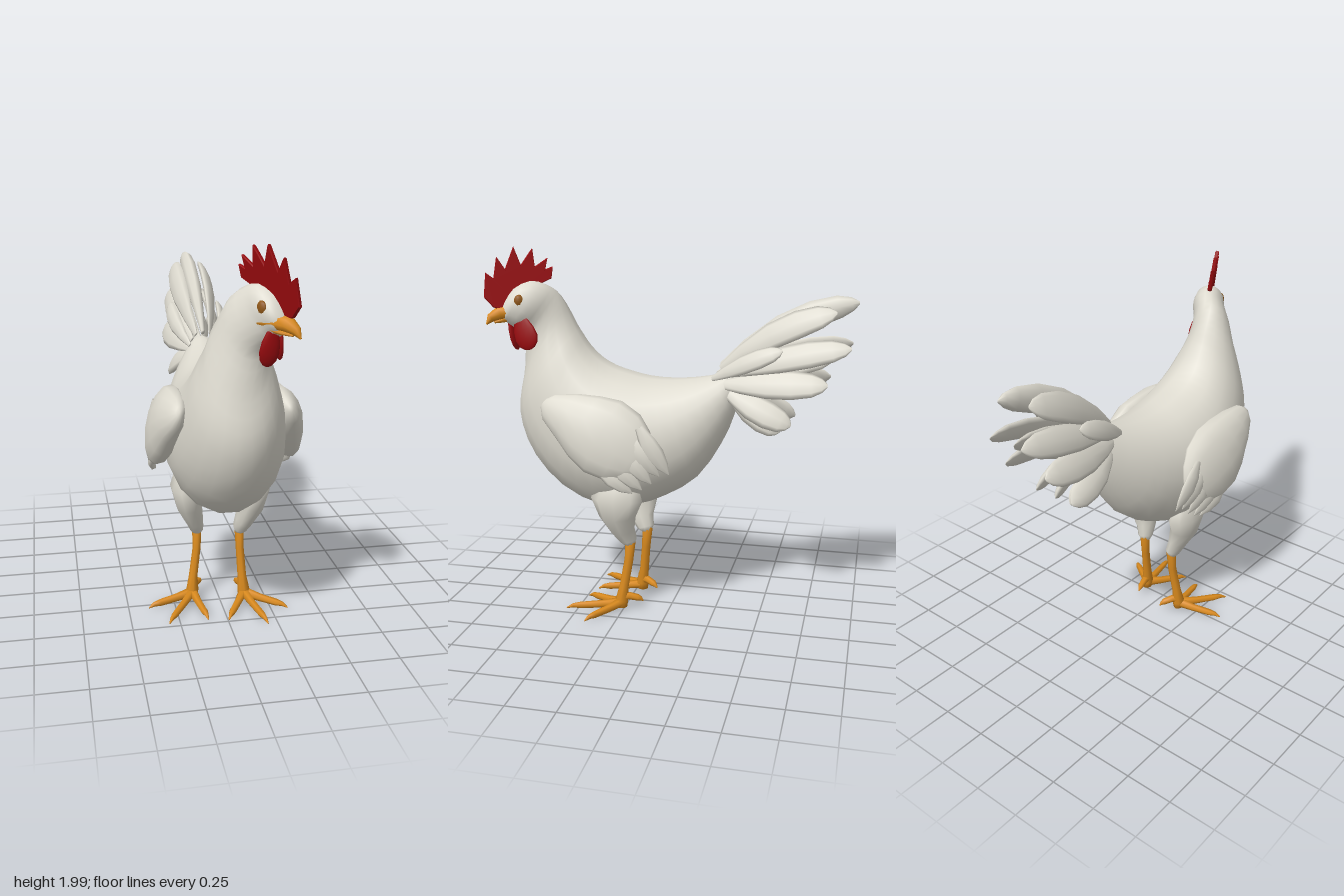
import * as THREE from 'three';

const V = (x, y, z) => new THREE.Vector3(x, y, z);
const mat = (name, color) => Object.assign(new THREE.MeshStandardMaterial({ color }), { name });

// Skin a list of closed rings (counter-clockwise around the direction of travel)
function loft(rings) {
  const n = rings[0].length, idx = [];
  for (let i = 0; i < rings.length - 1; i++) {
    for (let j = 0; j < n; j++) {
      const k = (j + 1) % n, a = i * n + j, b = i * n + k, c = b + n, d = a + n;
      idx.push(a, b, c, a, c, d);
    }
  }
  const g = new THREE.BufferGeometry().setFromPoints(rings.flat());
  g.setIndex(idx);
  g.computeVertexNormals();
  return g;
}

// Ellipse ring spanned by two half-axis vectors
function ring(c, right, up, n) {
  return Array.from({ length: n }, (_, j) => {
    const a = (j / n) * Math.PI * 2;
    return c.clone().addScaledVector(right, Math.cos(a)).addScaledVector(up, Math.sin(a));
  });
}

// Tapered form along points [x, y, z, halfWidth, halfThickness]; U is the thickness direction
function limb(pts, U, n = 8) {
  const P = pts.map(p => V(p[0], p[1], p[2]));
  const rings = P.map((p, i) => {
    const t = P[Math.min(i + 1, P.length - 1)].clone().sub(P[Math.max(i - 1, 0)]).normalize();
    const right = U.clone().cross(t).normalize();
    const up = t.clone().cross(right);
    return ring(p, right.multiplyScalar(pts[i][3]), up.multiplyScalar(pts[i][4]), n);
  });
  const last = rings.length - 1;
  return loft([rings[0].map(() => P[0]), ...rings, rings[last].map(() => P[last])]);
}

// Feather from a to b, bowed in the middle: rounded for the tail, pointed for the wing
const ROUNDED = [[0, 0.25], [0.2, 0.62], [0.45, 0.95], [0.68, 1], [0.86, 0.82], [0.95, 0.5], [1, 0.1]];
const POINTED = [[0, 0.4], [0.3, 0.9], [0.55, 1], [0.8, 0.65], [1, 0.05]];
function feather(profile, a, b, width, thick, U, bow) {
  return limb(profile.map(([t, w]) => {
    const p = a.clone().lerp(b, t).addScaledVector(bow, 4 * t * (1 - t));
    return [p.x, p.y, p.z, width * w, thick * w];
  }), U);
}

// Body sections: top z, top y, bottom z, bottom y, half width, amount of head turn
const BODY = [
  [-0.37, 1.35, -0.38, 1.32, 0.01, 0], [-0.32, 1.36, -0.36, 1.25, 0.065, 0],
  [-0.24, 1.34, -0.34, 1.13, 0.115, 0], [-0.13, 1.32, -0.27, 0.96, 0.178, 0],
  [0, 1.31, -0.15, 0.78, 0.235, 0], [0.12, 1.315, 0.02, 0.665, 0.272, 0],
  [0.22, 1.335, 0.2, 0.595, 0.295, 0], [0.32, 1.365, 0.4, 0.585, 0.302, 0],
  [0.4, 1.41, 0.6, 0.67, 0.285, 0], [0.46, 1.47, 0.76, 0.83, 0.25, 0],
  [0.5, 1.53, 0.84, 1.0, 0.215, 0], [0.53, 1.58, 0.855, 1.14, 0.18, 0],
  [0.56, 1.64, 0.83, 1.28, 0.15, 0], [0.59, 1.7, 0.81, 1.42, 0.12, 0.3],
  [0.63, 1.76, 0.8, 1.52, 0.102, 0.6], [0.68, 1.8, 0.84, 1.58, 0.09, 1],
  [0.75, 1.82, 0.87, 1.605, 0.08, 1], [0.83, 1.78, 0.885, 1.62, 0.062, 1],
  [0.875, 1.71, 0.89, 1.645, 0.03, 1], [0.885, 1.685, 0.89, 1.67, 0.004, 1],
];
const HEAD_YAW = Math.PI / 6;
const headX = z => 0.03 + 0.58 * (z - 0.65);

function bodyGeometry() {
  const curve = f => new THREE.CatmullRomCurve3(BODY.map(f), false, 'catmullrom', 0.5);
  const top = curve(s => V(headX(s[0]) * s[5], s[1], s[0]));
  const bottom = curve(s => V(headX(s[2]) * s[5], s[3], s[2]));
  const size = curve(s => V(s[4], s[5], 0));
  const rings = [], steps = (BODY.length - 1) * 2;
  for (let i = 0; i <= steps; i++) {
    const T = top.getPoint(i / steps), B = bottom.getPoint(i / steps), s = size.getPoint(i / steps);
    const yaw = HEAD_YAW * s.y;
    const right = V(Math.cos(yaw), 0, -Math.sin(yaw)).multiplyScalar(Math.max(s.x, 0.003));
    rings.push(ring(T.clone().add(B).multiplyScalar(0.5), right, T.sub(B).multiplyScalar(0.5), 18));
  }
  return loft(rings);
}

export function createModel() {
  const white = mat('white plumage', 0xdedbd0), red = mat('red comb', 0x980a0e);
  const orange = mat('orange skin', 0xd98a1e), brown = mat('brown eye', 0x8f5717);
  const model = new THREE.Group();
  model.name = 'rooster';
  const add = (name, geo, material, parent = model) => {
    const m = new THREE.Mesh(geo, material);
    m.name = name;
    parent.add(m);
    return m;
  };
  const group = name => {
    const g = new THREE.Group();
    g.name = name;
    model.add(g);
    return g;
  };

  add('body', bodyGeometry(), white);

  // Comb: spiked plate along the turned head, leaning slightly to the right
  const comb = [[0.92, 1.69], [0.96, 1.74], [0.957, 1.86], [0.92, 1.83], [0.91, 1.94], [0.87, 1.875],
    [0.835, 1.99], [0.8, 1.895], [0.75, 1.98], [0.737, 1.885], [0.68, 1.93], [0.69, 1.87],
    [0.655, 1.885], [0.66, 1.83], [0.74, 1.79], [0.84, 1.74], [0.87, 1.67]];
  const shape = new THREE.Shape(comb.map(([z, y]) => new THREE.Vector2((z - 0.65) / Math.cos(HEAD_YAW), y)));
  const combGeo = new THREE.ExtrudeGeometry(shape, {
    depth: 0.01, bevelEnabled: true, bevelSize: 0.004, bevelThickness: 0.006, bevelSegments: 1 });
  combGeo.translate(0, 0, -0.005).rotateY(HEAD_YAW - Math.PI / 2).translate(0.03, -1.75, 0.65);
  combGeo.applyMatrix4(new THREE.Matrix4().makeShear(0, 0, -0.15, 0, 0, 0)).translate(0, 1.75, 0);
  add('comb', combGeo, red);

  // Beak
  const upY = V(0, 1, 0);
  add('upperBeak', limb([[0.105, 1.652, 0.8, 0.074, 0.022], [0.145, 1.66, 0.855, 0.06, 0.038],
    [0.178, 1.652, 0.9, 0.042, 0.036], [0.204, 1.63, 0.935, 0.023, 0.024], [0.22, 1.598, 0.953, 0.004, 0.004]], upY), orange);
  add('lowerBeak', limb([[0.115, 1.63, 0.82, 0.052, 0.018], [0.165, 1.618, 0.885, 0.032, 0.016],
    [0.195, 1.607, 0.917, 0.008, 0.006]], upY), orange);

  // Wattles, splayed to both sides of the beak
  const wattle = [[0, 0.3], [0.15, 0.6], [0.4, 0.9], [0.65, 1], [0.85, 0.8], [0.96, 0.45], [1, 0.1]];
  const hang = (name, a, b, w, h, U) => add(name, limb(wattle.map(([t, r]) => {
    const p = a.clone().lerp(b, t);
    return [p.x, p.y, p.z, w * r, h * r];
  }), U, 12), red);
  hang('leftWattle', V(0.168, 1.64, 0.79), V(0.178, 1.465, 0.73), 0.066, 0.016, V(1, 0, 0));
  hang('rightWattle', V(0.12, 1.64, 0.865), V(0.1, 1.45, 0.83), 0.047, 0.02, V(0, 0, 1));

  // Eyes: flattened domes on the sides of the head
  for (const s of [-1, 1]) {
    const eye = add(s > 0 ? 'leftEye' : 'rightEye', new THREE.SphereGeometry(0.036, 12, 8), brown);
    eye.scale.set(0.5, 1, 0.85);
    eye.rotation.y = HEAD_YAW;
    eye.position.set(0.124 + s * 0.055, 1.718, 0.812 - s * 0.032);
  }

  // Wings: rounded shoulder sloping back into overlapping flight feathers
  for (const s of [-1, 1]) {
    const wing = group(s > 0 ? 'leftWing' : 'rightWing');
    const U = V(s, 0.3, 0).normalize();
    add('wingShoulder', limb([[0.265, 1.2, 0.63, 0.03, 0.02], [0.27, 1.18, 0.6, 0.075, 0.045],
      [0.28, 1.14, 0.5, 0.13, 0.08], [0.29, 1.09, 0.4, 0.18, 0.093], [0.3, 1.045, 0.3, 0.21, 0.092],
      [0.305, 0.995, 0.2, 0.195, 0.075], [0.31, 0.955, 0.13, 0.15, 0.052], [0.312, 0.925, 0.08, 0.09, 0.03],
      [0.312, 0.915, 0.06, 0.03, 0.01]].map(([x, ...r]) => [s * x, ...r]), U, 14), white, wing);
    const feathers = [[0.3, 0.86, -0.05, 1.11, 0.1], [0.305, 0.85, 0.0, 1.06, 0.15],
      [0.315, 0.81, 0.04, 1.02, 0.2], [0.32, 0.775, 0.09, 0.98, 0.27], [0.325, 0.755, 0.14, 0.94, 0.34]];
    feathers.forEach(([x, y, z, y0, z0], i) => add('flightFeather', feather(POINTED,
      V(s * 0.33, y0, z0), V(s * x, y, z), 0.05, 0.018, U, V(s * (0.015 + i * 0.004), 0, 0)), white, wing));
  }

  // Tail: central plume and mirrored pairs [tip, base, half width, half thickness, upward bow]
  const tail = group('tail');
  add('centralPlume', feather(ROUNDED, V(0, 1.39, -0.27), V(0, 1.735, -0.965), 0.046, 0.07,
    V(0, 1, 0.5).normalize(), V(0, 0.055, 0)), white, tail);
  const plumes = [
    [[0.08, 1.69, -0.86], [0.04, 1.38, -0.27], 0.075, 0.024, 0.045],
    [[0.1, 1.515, -0.94], [0.06, 1.35, -0.28], 0.072, 0.024, 0.02],
    [[0.13, 1.33, -0.83], [0.07, 1.3, -0.27], 0.078, 0.024, 0.005],
    [[0.12, 1.11, -0.65], [0.06, 1.28, -0.28], 0.074, 0.026, -0.005],
    [[0.05, 1.06, -0.59], [0.02, 1.26, -0.3], 0.066, 0.026, -0.01],
    [[0.14, 1.5, -0.6], [0.08, 1.33, -0.23], 0.052, 0.02, 0.01],
    [[0.03, 1.47, -0.86], [0.01, 1.33, -0.3], 0.075, 0.022, 0.01],
  ];
  for (const s of [-1, 1]) {
    for (const [b, a, w, h, bow] of plumes) {
      add('tailFeather', feather(ROUNDED, V(s * a[0], a[1], a[2]), V(s * b[0], b[1], b[2]), w, h,
        V(s, 0.55, 0).normalize(), V(s * 0.025, bow, 0)), white, tail);
    }
  }

  // Legs: feathered thigh, shank and four toes on a turned foot
  const legs = [
    { name: 'leftLeg', s: 1, dz: 0.01, foot: V(0.13, 0.05, 0.26), yaw: 0.22 },
    { name: 'rightLeg', s: -1, dz: -0.03, foot: V(-0.145, 0.05, 0.21), yaw: -0.55 },
  ];
  const Z = V(0, 0, 1);
  for (const { name, s, dz, foot, yaw } of legs) {
    const leg = group(name);
    add('thigh', limb([[0.165, 0.78, 0.25, 0.06, 0.11], [0.178, 0.67, 0.255, 0.083, 0.145],
      [0.163, 0.57, 0.255, 0.07, 0.105], [0.13, 0.47, 0.235, 0.048, 0.068], [0.115, 0.415, 0.21, 0.038, 0.05],
      [0.113, 0.39, 0.21, 0.025, 0.03]].map(([x, y, z, w, h]) => [s * x, y, z + dz, w, h]), Z, 9), white, leg);
    add('shank', limb([[s * 0.113, 0.42, 0.2 + dz, 0.026, 0.03], [s * 0.115, 0.3, 0.21 + dz, 0.022, 0.025],
      [foot.x - s * 0.007, 0.14, foot.z - 0.012, 0.024, 0.026], [foot.x, 0.06, foot.z, 0.034, 0.036],
      [foot.x, 0.02, foot.z, 0.025, 0.03]], Z), orange, leg);
    for (const [angle, len] of [[-0.72, 0.26], [0, 0.31], [0.72, 0.26], [Math.PI, 0.12]]) {
      const d = V(Math.sin(yaw + angle), 0, Math.cos(yaw + angle)), back = angle > 3;
      const at = (t, y, w, h) => [foot.x + d.x * len * t, y, foot.z + d.z * len * t, w, h];
      add(back ? 'backToe' : 'toe', limb([at(0, back ? 0.08 : 0.05, 0.028, 0.026), at(0.35, back ? 0.085 : 0.036, 0.021, 0.021),
        at(0.75, back ? 0.075 : 0.028, 0.019, 0.018), at(0.88, back ? 0.068 : 0.026, 0.012, 0.012),
        at(1, back ? 0.055 : 0.012, 0.003, 0.003)], upY, 6), orange, leg);
    }
  }
  return model;
}
